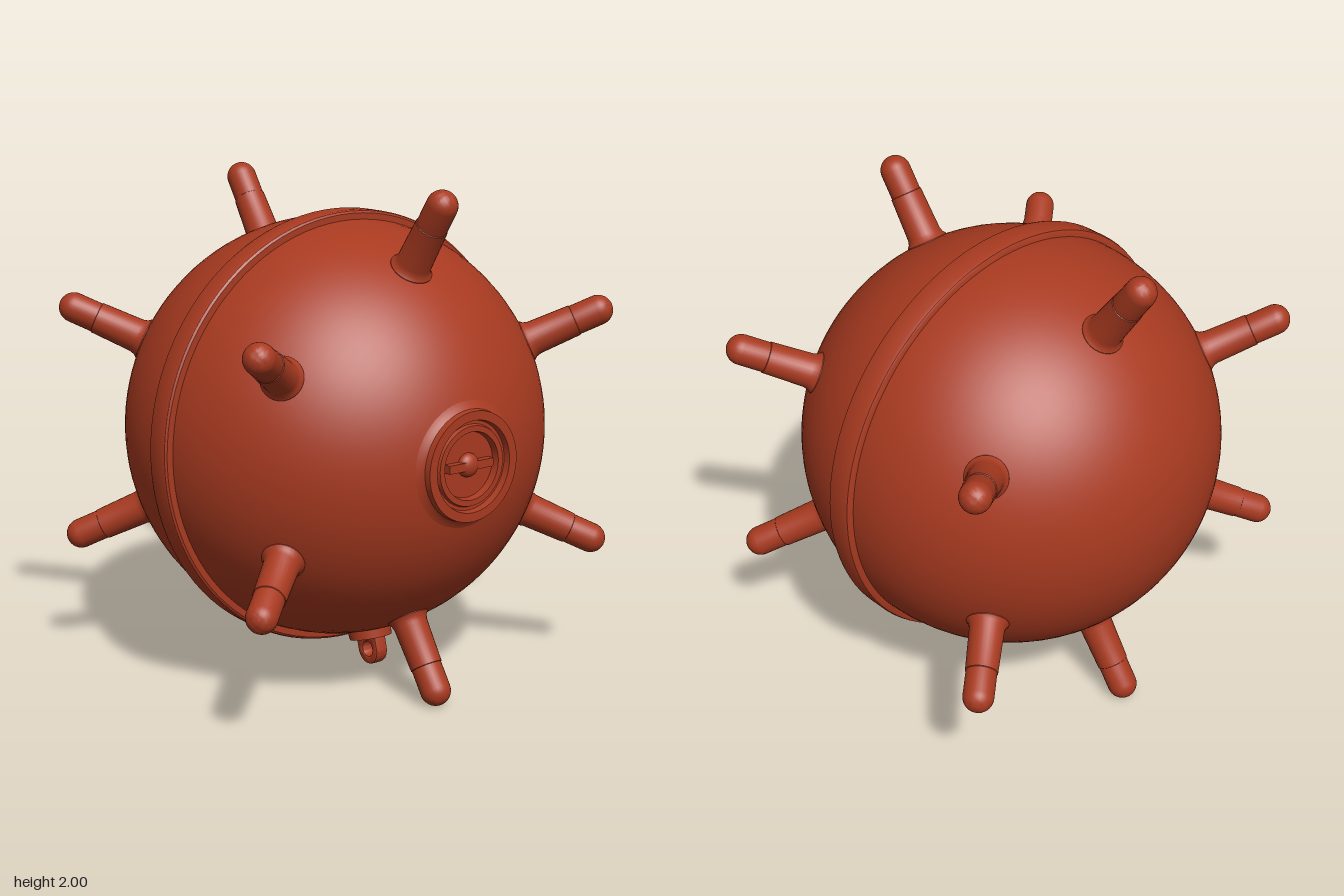
import * as THREE from 'three';
import { toCreasedNormals } from 'three/addons/utils/BufferGeometryUtils.js';

const paint = new THREE.MeshStandardMaterial({ color: 0xa83a20 });

function addMesh(parent, name, geometry) {
  const mesh = new THREE.Mesh(geometry, paint);
  mesh.name = name;
  parent.add(mesh);
  return mesh;
}

// Turned part from [radius, height] pairs, listed from low to high
function turned(points, segments, crease = 0.6) {
  const profile = points.map(([r, h]) => new THREE.Vector2(r, h));
  return toCreasedNormals(new THREE.LatheGeometry(profile, segments), crease);
}

export function createModel() {
  const model = new THREE.Group();
  const body = new THREE.Group();
  body.name = 'body';
  body.position.y = 1;
  model.add(body);

  // Hull: sphere along z with a shallow point at the back, open under the hatch
  const R = 0.84;
  const hull = [[0, -0.845]];
  const start = 0.24, end = Math.PI - 0.25;
  for (let i = 0; i <= 40; i++) {
    const a = start + (end - start) * i / 40;
    hull.push([R * Math.sin(a), -R * Math.cos(a)]);
  }
  addMesh(body, 'hull', turned(hull, 96).rotateX(Math.PI / 2));

  // Raised band joining the two halves
  addMesh(body, 'seamBand', turned([
    [0.82, -0.005], [0.858, -0.005], [0.866, 0], [0.87, 0.012], [0.87, 0.088],
    [0.866, 0.1], [0.858, 0.106], [0.82, 0.106],
  ], 96).rotateX(Math.PI / 2));

  // Front hatch: raised rim, groove and recessed lid
  const hatch = new THREE.Group();
  hatch.name = 'hatch';
  body.add(hatch);
  addMesh(hatch, 'hatchRim', turned([
    [0.25, 0.8], [0.225, 0.812], [0.213, 0.825], [0.21, 0.85], [0.175, 0.85],
    [0.17, 0.825], [0.157, 0.825], [0.152, 0.838], [0.13, 0.838],
    [0.125, 0.81], [0, 0.81],
  ], 64).rotateX(Math.PI / 2));
  addMesh(hatch, 'handleBar', new THREE.BoxGeometry(0.21, 0.032, 0.03)).position.set(0, 0, 0.823);
  const knob = addMesh(hatch, 'handleKnob', new THREE.SphereGeometry(0.046, 24, 16));
  knob.position.z = 0.815;
  knob.scale.z = 0.7;

  // Contact horns: flared foot, rod and rounded cap, six on each half
  const horn = [[0.085, 0.8], [0.083, 0.838], [0.073, 0.85], [0.068, 0.868], [0.063, 1.04], [0.06, 1.042]];
  for (let i = 0; i <= 10; i++) {
    const a = i / 10 * Math.PI / 2;
    horn.push([0.06 * Math.cos(a), 1.14 + 0.06 * Math.sin(a)]);
  }
  horn[horn.length - 1][0] = 0;
  const hornGeometry = turned(horn, 28);
  const up = new THREE.Vector3(0, 1, 0);
  for (const side of [1, -1]) {
    for (let i = 0; i < 6; i++) {
      const a = Math.PI / 6 + i * Math.PI / 3;
      const dir = new THREE.Vector3(0.94 * Math.cos(a), 0.94 * Math.sin(a), 0.65 * side).normalize();
      addMesh(body, side > 0 ? 'frontHorn' : 'backHorn', hornGeometry).quaternion.setFromUnitVectors(up, dir);
    }
  }

  // Mooring eye under the front half
  const mooring = new THREE.Group();
  mooring.name = 'mooringEye';
  mooring.rotation.x = -0.28;
  body.add(mooring);
  addMesh(mooring, 'mooringPlate', new THREE.CylinderGeometry(0.09, 0.085, 0.05, 32)).position.y = -0.845;
  const eye = new THREE.Shape();
  eye.moveTo(-0.062, 0.07);
  eye.lineTo(-0.062, 0);
  eye.absarc(0, 0, 0.062, Math.PI, Math.PI * 2, false);
  eye.lineTo(0.062, 0.07);
  eye.closePath();
  const hole = new THREE.Path();
  hole.absarc(0, 0, 0.03, 0, Math.PI * 2, true);
  eye.holes.push(hole);
  const eyeGeometry = new THREE.ExtrudeGeometry(eye, {
    depth: 0.04, curveSegments: 16, bevelThickness: 0.008, bevelSize: 0.006, bevelOffset: -0.006, bevelSegments: 2,
  });
  eyeGeometry.translate(0, 0, -0.02).rotateY(Math.PI / 2);
  addMesh(mooring, 'mooringLug', toCreasedNormals(eyeGeometry, 0.6)).position.y = -0.915;

  return model;
}
